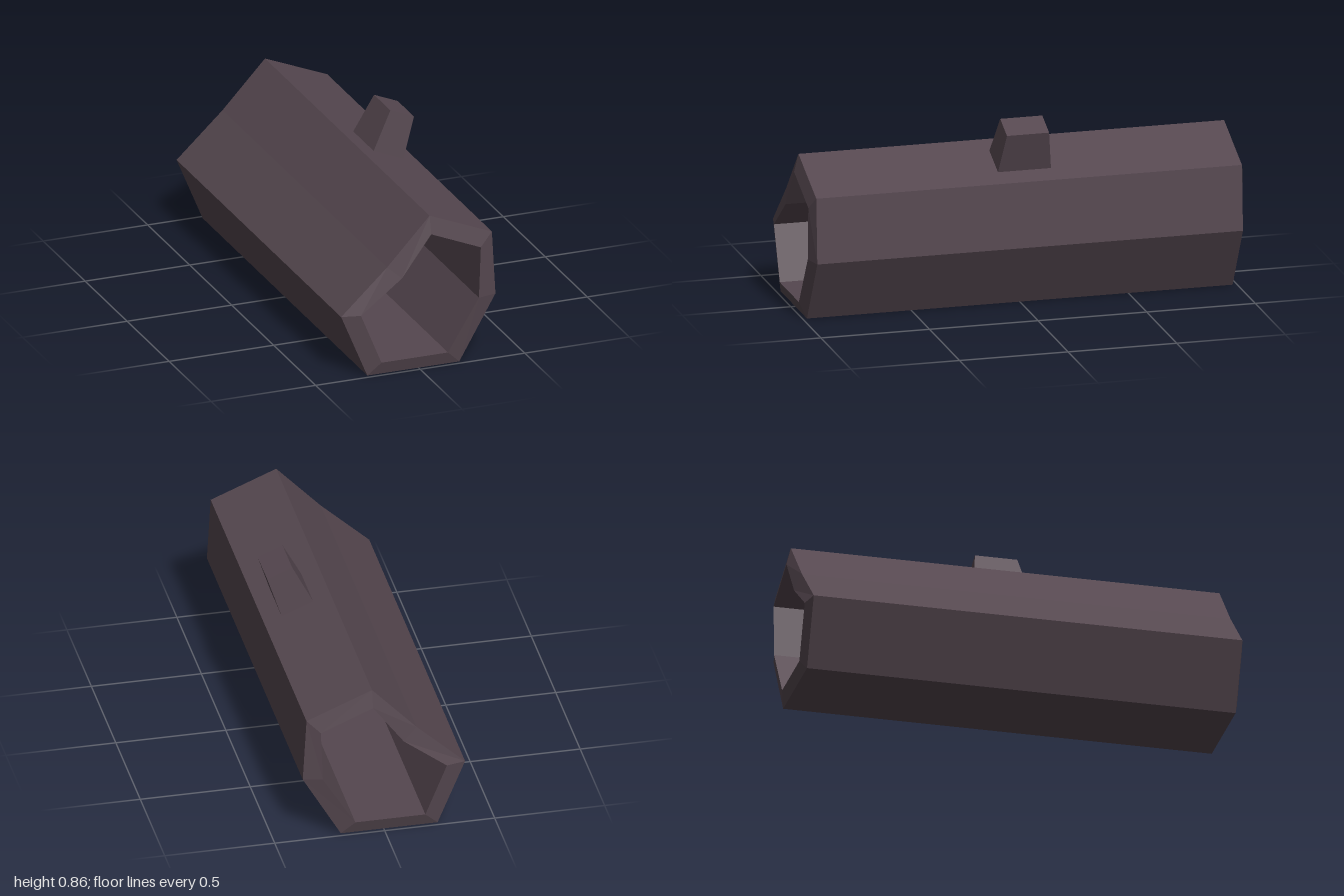
import * as THREE from 'three';

// Builds a flat-shaded strip surface through rings of equal point count
function loft(rings, closed, capEnd) {
  const pos = [];
  const quad = (a, b, c, d) => pos.push(...a, ...b, ...c, ...a, ...c, ...d);
  const last = closed ? rings.length : rings.length - 1;
  for (let r = 0; r < last; r++) {
    const p = rings[r], q = rings[(r + 1) % rings.length];
    for (let i = 0; i < p.length; i++) {
      const j = (i + 1) % p.length;
      quad(p[i], p[j], q[j], q[i]);
    }
  }
  if (capEnd) quad(...rings[rings.length - 1]);
  const geo = new THREE.BufferGeometry();
  geo.setAttribute('position', new THREE.Float32BufferAttribute(pos, 3));
  geo.computeVertexNormals();
  return geo;
}

export function createModel() {
  const group = new THREE.Group();
  const metal = new THREE.MeshStandardMaterial({ color: 0x55474f });
  metal.name = 'dark plum';
  metal.flatShading = true;

  // Hollow seven-sided tube with slightly protruding inner rims
  const outer = [[-0.245, 0], [0.195, 0], [0.368, 0.3], [0.351, 0.6],
    [0.053, 0.722], [-0.15, 0.505], [-0.37, 0.3]];
  const inner = [[-0.185, 0.06], [0.133, 0.06], [0.281, 0.3], [0.29, 0.541],
    [0.053, 0.64], [-0.087, 0.45], [-0.283, 0.3]];
  const at = (loop, z) => loop.map(([x, y]) => [x, y, z]);
  const tube = new THREE.Mesh(
    loft([at(outer, -0.98), at(outer, 0.98), at(inner, 1), at(inner, -1)], true, false), metal);
  tube.name = 'tube';
  group.add(tube);

  // Tapered block standing on the sloping upper face
  const ring = ([ax, ay], [bx, by], z) =>
    [[ax, ay, z], [bx, by, z], [bx, by, -z], [ax, ay, -z]];
  const lug = new THREE.Mesh(
    loft([ring([0.13, 0.69], [0.273, 0.632], 0.122),
      ring([0.22, 0.862], [0.333, 0.815], 0.097)], false, true), metal);
  lug.name = 'lug';
  group.add(lug);

  return group;
}
